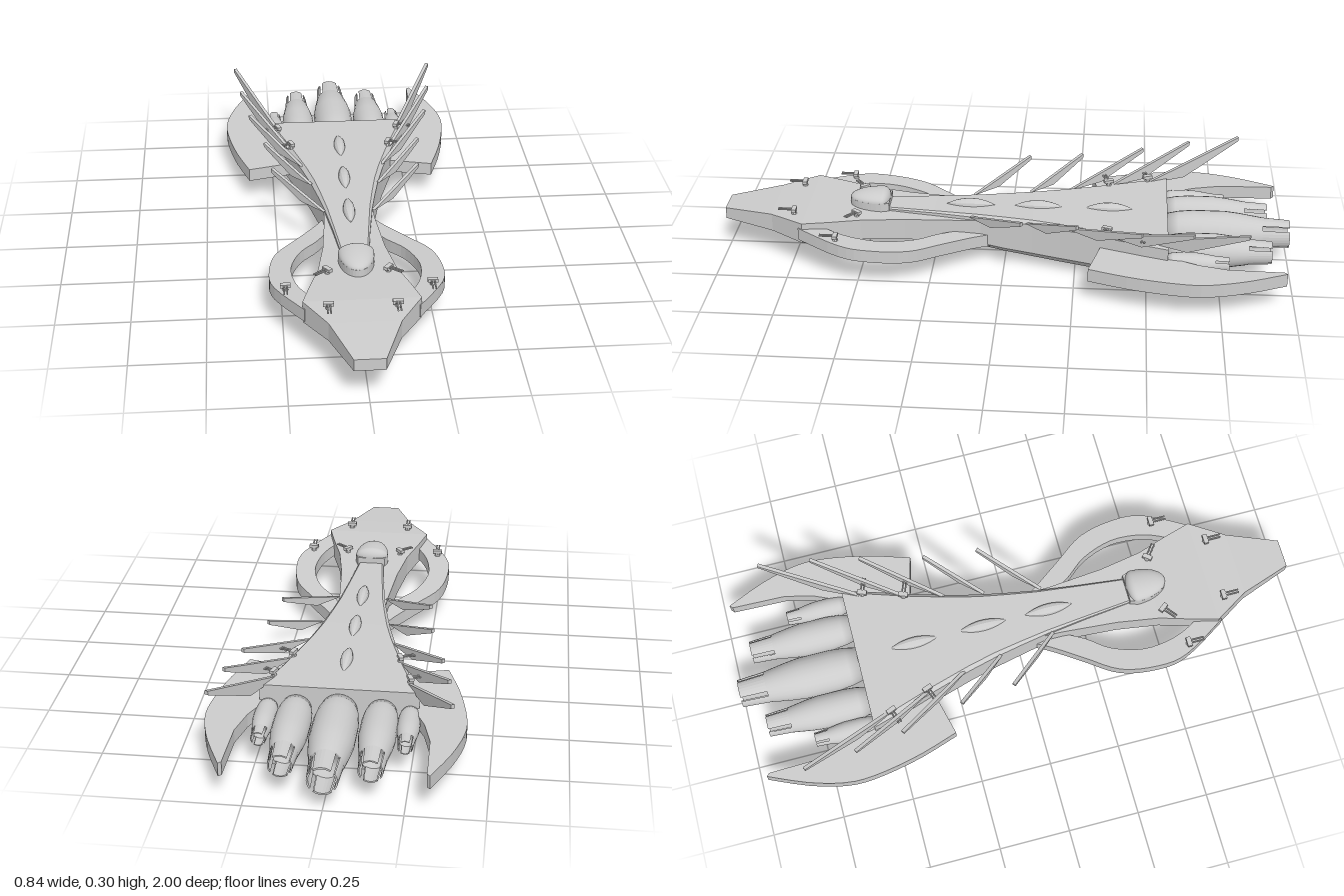
import * as THREE from 'three';

const mat = new THREE.MeshStandardMaterial({ color: 0xcccccc, side: THREE.DoubleSide });
const flat = new THREE.MeshStandardMaterial({ color: 0xcccccc, side: THREE.DoubleSide, flatShading: true });

function add(parent, name, geometry, material = flat) {
  const mesh = new THREE.Mesh(geometry, material);
  mesh.name = name;
  parent.add(mesh);
  return mesh;
}

// Skin over chamfered rectangles; each station is [z, halfWidth, bottom, top, chamfer], front to back
function loft(stations) {
  const rings = stations.map(([z, w, b, t, c]) => [
    [w - c, b], [w, b + c], [w, t - c / 2], [w - c / 2, t],
    [-w + c / 2, t], [-w, t - c / 2], [-w, b + c], [-w + c, b],
  ].map(([x, y]) => [x, y, z]));
  const pos = [];
  const tri = (...pts) => pts.forEach(p => pos.push(...p));
  for (let i = 0; i < rings.length - 1; i++) {
    for (let j = 0; j < 8; j++) {
      const k = (j + 1) % 8, f = rings[i], r = rings[i + 1];
      tri(f[j], r[j], f[k]);
      tri(f[k], r[j], r[k]);
    }
  }
  const first = rings[0], last = rings[rings.length - 1];
  for (let j = 1; j < 7; j++) {
    tri(first[0], first[j], first[j + 1]);
    tri(last[0], last[j + 1], last[j]);
  }
  const g = new THREE.BufferGeometry();
  g.setAttribute('position', new THREE.Float32BufferAttribute(pos, 3));
  g.computeVertexNormals();
  return g;
}

// Horizontal plate from an x,z outline
function plate(points, bottom, top) {
  const shape = new THREE.Shape(points.map(([x, z]) => new THREE.Vector2(x, z)));
  const g = new THREE.ExtrudeGeometry(shape, { depth: top - bottom, bevelEnabled: false });
  return g.rotateX(Math.PI / 2).translate(0, top, 0);
}

const smooth = (points, n) => new THREE.SplineCurve(points.map(p => new THREE.Vector2(...p)))
  .getPoints(n).map(p => [p.x, p.y]);

// Barrel-shaped engine with a nozzle of four petals, running backward from z
function engine(name, x, y, z, r, length) {
  const g = new THREE.Group();
  g.name = name;
  const body = [[0, 0], [0.8, 0], [0.93, 0.1], [1, 0.22], [1, 0.48], [0.92, 0.6], [0.75, 0.78], [0.66, 0.78], [0, 0.7]];
  const petal = [[0.75, 0.77], [0.66, 1], [0.58, 1], [0.66, 0.77]];
  const scaled = pts => pts.map(([a, b]) => new THREE.Vector2(a * r, b * length));
  add(g, 'engineBody', new THREE.LatheGeometry(scaled(body), 24), mat);
  for (let i = 0; i < 4; i++) {
    const start = i * Math.PI / 2 - 0.62;
    add(g, 'nozzlePetal', new THREE.LatheGeometry(scaled(petal), 6, start, 1.24));
  }
  g.rotation.x = -Math.PI / 2;
  g.position.set(x, y, z);
  return g;
}

// Pointed lens-shaped fin lying along z
function lens(halfLength, width, height) {
  const pts = [];
  for (let i = 0; i <= 10; i++) {
    const t = i / 5 - 1;
    pts.push(new THREE.Vector2(1 - t * t, t * halfLength));
  }
  return new THREE.LatheGeometry(pts, 12).rotateX(Math.PI / 2).scale(width, height, 1);
}

// Swept blade from a base point to a tip
function spike(base, tip) {
  const dx = tip[0] - base[0], dz = tip[2] - base[2], h = tip[1] - base[1];
  const len = Math.hypot(dx, dz);
  const shape = new THREE.Shape([[0, 0], [len * 0.42, 0], [len, h - 0.014], [len, h]]
    .map(p => new THREE.Vector2(...p)));
  const g = new THREE.ExtrudeGeometry(shape, { depth: 0.012, bevelEnabled: false });
  return g.translate(0, 0, -0.006).rotateY(Math.atan2(-dz, dx)).translate(...base);
}

// Small gun: post, head and two barrels
function turret(x, y, z, angle) {
  const g = new THREE.Group();
  g.name = 'turret';
  add(g, 'post', new THREE.CylinderGeometry(0.006, 0.011, 0.016, 8)).position.y = 0.006;
  add(g, 'head', new THREE.BoxGeometry(0.034, 0.011, 0.016)).position.y = 0.017;
  for (const s of [-1, 1]) {
    const barrel = new THREE.CylinderGeometry(0.003, 0.003, 0.06, 6).rotateX(Math.PI / 2);
    add(g, 'barrel', barrel).position.set(s * 0.005, 0.018, 0.025);
  }
  g.position.set(x, y, z);
  g.rotation.y = angle;
  return g;
}

export function createModel() {
  const ship = new THREE.Group();
  ship.name = 'spaceship';

  // Spearhead nose and neck
  add(ship, 'nose', loft([
    [1, 0.05, 0.122, 0.163, 0], [0.82, 0.115, 0.113, 0.178, 0], [0.7, 0.19, 0.108, 0.184, 0],
    [0.61, 0.165, 0.106, 0.18, 0], [0.5, 0.13, 0.1, 0.175, 0], [0.35, 0.105, 0.092, 0.17, 0],
    [0.15, 0.088, 0.08, 0.165, 0], [0, 0.085, 0.06, 0.165, 0],
  ]));

  // Main hull flaring toward the engines
  add(ship, 'hull', loft([
    [0.42, 0.045, 0.1, 0.183, 0.01], [0.25, 0.064, 0.085, 0.184, 0.012], [0.1, 0.084, 0.06, 0.185, 0.018],
    [0, 0.102, 0.045, 0.186, 0.022], [-0.1, 0.122, 0.036, 0.187, 0.026], [-0.2, 0.147, 0.031, 0.187, 0.028],
    [-0.35, 0.192, 0.03, 0.187, 0.03], [-0.48, 0.235, 0.03, 0.187, 0.03], [-0.57, 0.262, 0.03, 0.187, 0.03],
  ]));

  // Cockpit: teardrop base with a half dome cut flat at the back
  const outline = [];
  for (let i = 0; i <= 20; i++) {
    const a = i / 20 * Math.PI;
    outline.push([0.06 * Math.cos(a), 0.44 + 0.115 * Math.sin(a)]);
  }
  outline.push([-0.05, 0.412], [0.05, 0.412]);
  add(ship, 'cockpitBase', plate(outline, 0.165, 0.203));
  const dome = new THREE.SphereGeometry(1, 24, 12, 0, Math.PI * 2, 0, Math.PI / 2);
  const dp = dome.attributes.position;
  for (let i = 0; i < dp.count; i++) {
    const z = dp.getZ(i);
    dp.setXYZ(i, dp.getX(i) * 0.06, 0.203 + dp.getY(i) * 0.031, 0.44 + z * (z > 0 ? 0.115 : 0.028));
  }
  dome.computeVertexNormals();
  add(ship, 'cockpitDome', dome, mat);

  // Lens fins along the top and the keel
  for (const z of [0.125, -0.115, -0.365]) {
    add(ship, 'topFin', lens(0.087, 0.021, 0.022)).position.set(0, 0.185, z);
  }
  for (const [z, y] of [[0.43, 0.102], [0.11, 0.066], [-0.12, 0.038], [-0.365, 0.032]]) {
    add(ship, 'keelFin', lens(0.105, 0.021, z > 0.3 ? 0.02 : 0.03)).position.set(0, y, z);
  }

  // Engine row
  ship.add(engine('centreEngine', 0, 0.108, -0.565, 0.074, 0.435));

  const armOuter = [[0.08, 0.04], [0.12, 0.11], [0.19, 0.21], [0.265, 0.32], [0.29, 0.45], [0.275, 0.56], [0.185, 0.715]];
  const armInner = [[0.14, 0.64], [0.168, 0.615], [0.205, 0.53], [0.215, 0.42], [0.18, 0.31], [0.12, 0.23], [0.075, 0.15]];
  const wing = [
    ...smooth([[0.34, -0.3], [0.385, -0.44], [0.415, -0.59], [0.418, -0.7], [0.385, -0.83], [0.325, -0.97]], 16),
    [0.315, -0.96], [0.31, -0.77], [0.285, -0.67], [0.235, -0.56], [0.16, -0.345],
  ];
  const spikes = [
    [[0.085, 0.18, 0.12], [0.26, 0.257, -0.07]], [[0.12, 0.18, -0.08], [0.28, 0.262, -0.26]],
    [[0.145, 0.18, -0.22], [0.33, 0.268, -0.48]], [[0.185, 0.18, -0.36], [0.36, 0.287, -0.65]],
    [[0.215, 0.18, -0.49], [0.38, 0.302, -0.83]],
  ];

  // Mirrored parts
  for (const s of [1, -1]) {
    const side = new THREE.Group();
    side.name = s > 0 ? 'leftSide' : 'rightSide';
    ship.add(side);
    const flip = pts => pts.map(([x, z]) => [s * x, z]);

    // Curved arm sloping down toward the neck
    const arm = plate(flip([...smooth(armOuter, 24), ...smooth(armInner, 24)]), -0.045, 0);
    const p = arm.attributes.position;
    for (let i = 0; i < p.count; i++) p.setY(i, p.getY(i) + 0.165 - (0.73 - p.getZ(i)) * 0.08);
    arm.computeVertexNormals();
    add(side, 'sideArm', arm);

    add(side, 'rearWing', plate(flip(wing), 0.084, 0.131));
    side.add(engine('innerEngine', s * 0.14, 0.108, -0.565, 0.06, 0.365));
    side.add(engine('outerEngine', s * 0.233, 0.108, -0.565, 0.037, 0.215));

    for (const [b, t] of spikes) {
      add(side, 'spike', spike([s * b[0], b[1], b[2]], [s * t[0], t[1], t[2]]));
    }

    side.add(turret(s * 0.11, 0.181, 0.74, 0));
    side.add(turret(s * 0.24, 0.152, 0.575, 0));
    side.add(turret(s * 0.1, 0.174, 0.52, s * 0.9));
    side.add(turret(s * 0.18, 0.186, -0.36, s * 1.2));
    side.add(turret(s * 0.225, 0.186, -0.5, s * 1.2));
  }
  return ship;
}
